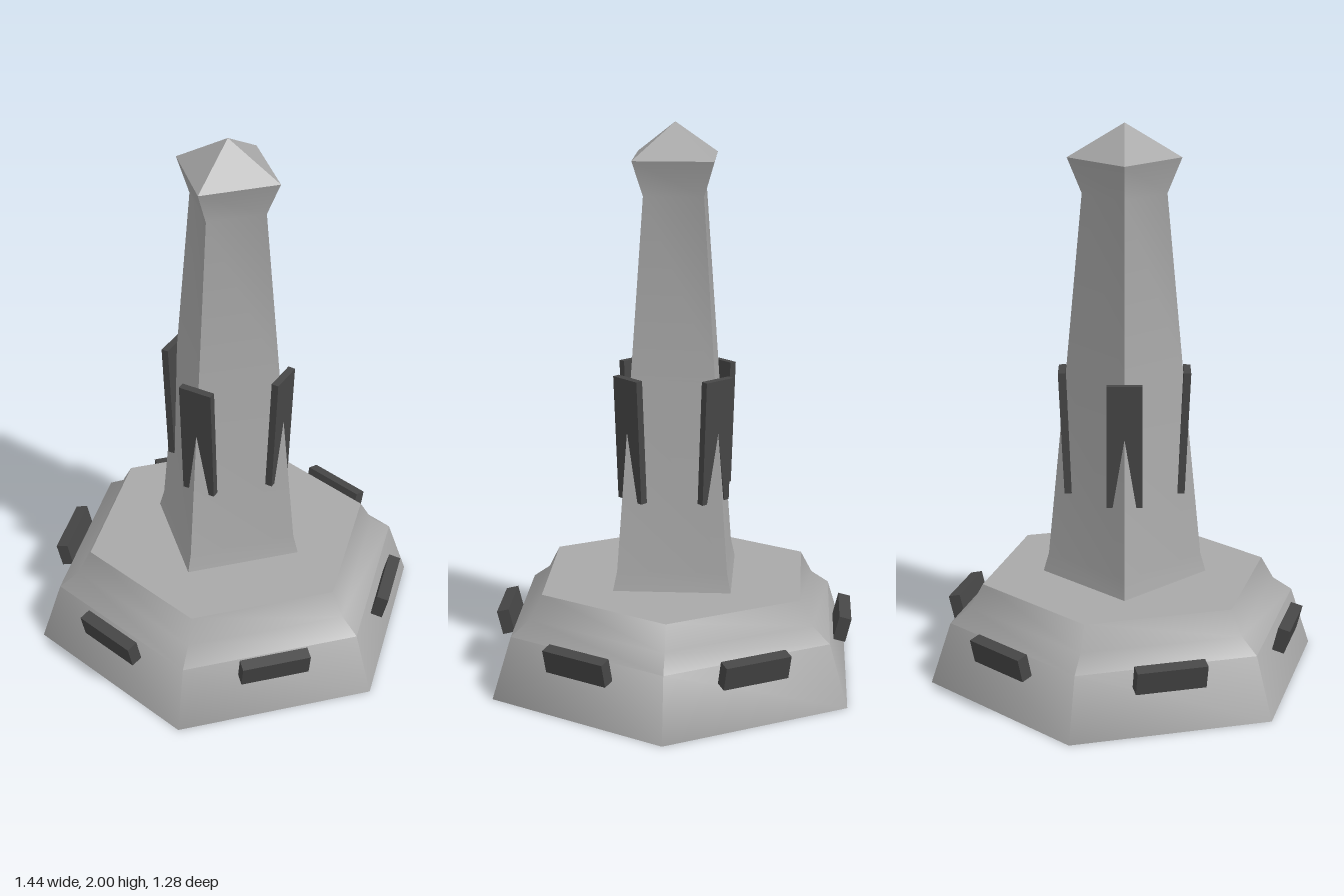
import * as THREE from 'three';
import { toCreasedNormals } from 'three/addons/utils/BufferGeometryUtils.js';

// Prism-like solid: a profile of [radius, height] points swept round few sides
function facetedSolid(profile, sides, crease) {
  const points = profile.map(([r, y]) => new THREE.Vector2(r, y));
  const geometry = new THREE.LatheGeometry(points, sides, Math.PI / sides);
  return toCreasedNormals(geometry, crease);
}

function addMesh(parent, name, geometry, material) {
  const mesh = new THREE.Mesh(geometry, material);
  mesh.name = name;
  parent.add(mesh);
  return mesh;
}

// Parts repeated evenly round the vertical axis
function addRing(parent, name, count, start, geometry, material, y, distance, tilt) {
  for (let i = 0; i < count; i++) {
    const arm = new THREE.Group();
    arm.name = name;
    arm.rotation.y = start + (i * Math.PI * 2) / count;
    const mesh = addMesh(arm, name + 'Plate', geometry, material);
    mesh.position.set(0, y, distance);
    mesh.rotation.x = tilt;
    parent.add(arm);
  }
}

export function createModel() {
  const model = new THREE.Group();
  model.name = 'obelisk';

  const stone = new THREE.MeshStandardMaterial({ color: 0xa8a8a8 });
  stone.name = 'light grey stone';
  const metal = new THREE.MeshStandardMaterial({ color: 0x464646 });
  metal.name = 'dark grey metal';

  // Six-sided stepped base
  const base = facetedSolid(
    [[0, 0], [0.722, 0], [0.648, 0.222], [0.575, 0.275], [0.527, 0.36], [0, 0.36]], 6, 1.02);
  addMesh(model, 'base', base, stone);

  // Square tapering tower with flared head and pointed cap (half widths)
  const towerProfile = [
    [0.21, 0.355], [0.195, 0.43], [0.147, 1.12], [0.105, 1.755], [0.141, 1.88], [0, 2],
  ].map(([half, y]) => [half * Math.SQRT2, y]);
  addMesh(model, 'tower', facetedSolid(towerProfile, 4, 0.8), stone);

  // Slabs leaning outwards on each side of the base
  const slab = new THREE.BoxGeometry(0.25, 0.088, 0.044);
  addRing(model, 'baseSlab', 6, 0, slab, metal, 0.202, 0.608, 0.24);

  // Notched fins across the tower corners
  const w = 0.0625, h = 0.223, prong = 0.021, depth = 0.026;
  const outline = new THREE.Shape([
    [-w, h], [-w, -h], [-w + prong, -h], [0, 0.03], [w - prong, -h], [w, -h], [w, h],
  ].map(([x, y]) => new THREE.Vector2(x, y)));
  const fin = new THREE.ExtrudeGeometry(outline, { depth, bevelEnabled: false });
  fin.translate(0, 0, -depth / 2);
  addRing(model, 'cornerFin', 4, Math.PI / 4, fin, metal, 0.902, 0.212, 0.045);

  return model;
}
